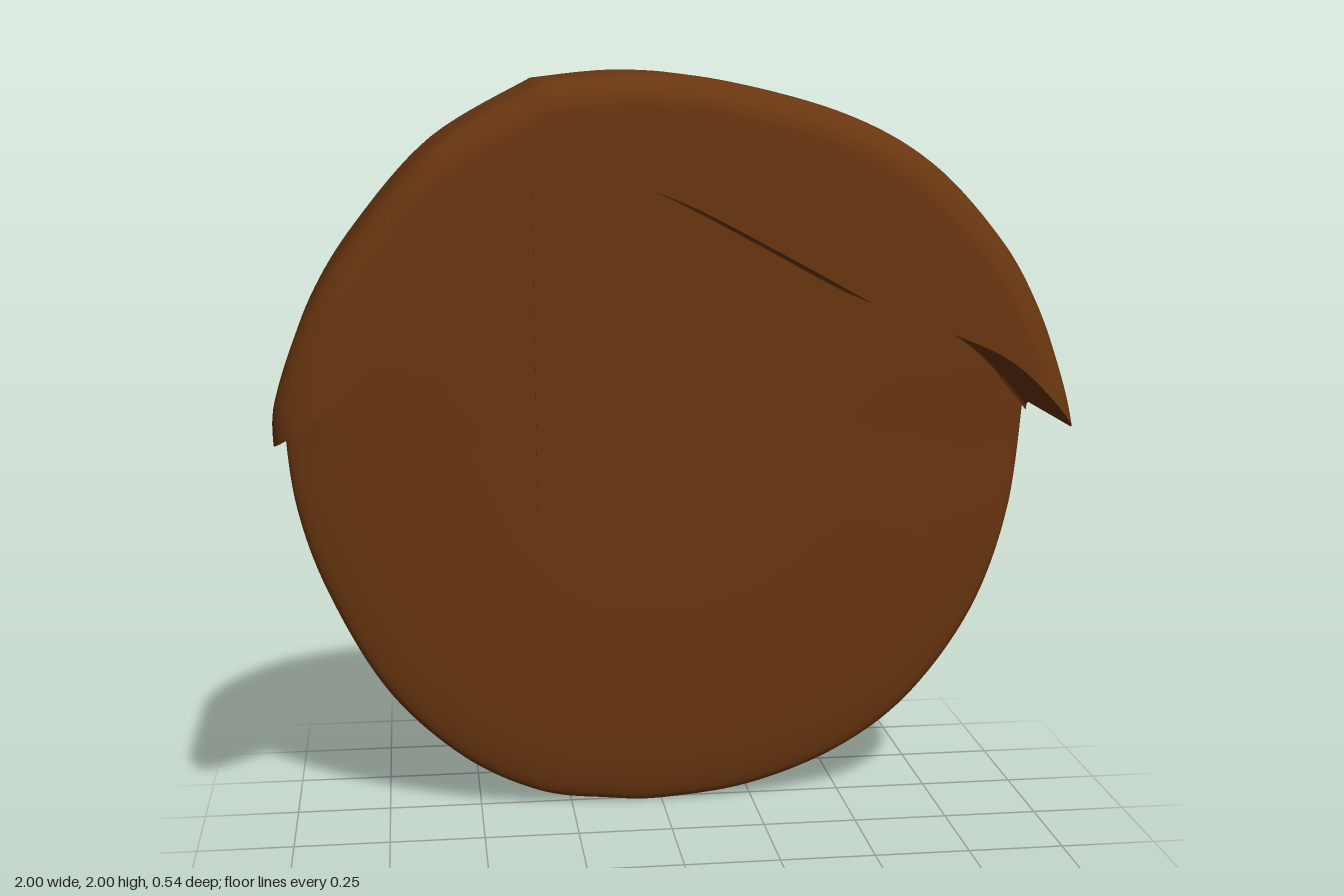
import * as THREE from 'three';
import { toCreasedNormals } from 'three/addons/utils/BufferGeometryUtils.js';

const material = new THREE.MeshStandardMaterial({ color: 0x693610, side: THREE.DoubleSide });
const CENTRE = new THREE.Vector2(0, 1.1);
const MID_Z = -0.235, HALF = 0.035, FRONT = 0.272, ROUND = 0.085;

// Smooth curve through a few x,y pairs
const sample = (pairs, n) =>
  new THREE.SplineCurve(pairs.map(([x, y]) => new THREE.Vector2(x, y))).getPoints(n);

// Surface through rows of equally many points
function loft(rows, crease) {
  const n = rows[0].length, index = [];
  for (let r = 0; r < rows.length - 1; r++) {
    for (let c = 0; c < n - 1; c++) {
      const a = r * n + c, b = a + n;
      index.push(a, b, a + 1, b, b + 1, a + 1);
    }
  }
  const g = new THREE.BufferGeometry();
  g.setAttribute('position', new THREE.Float32BufferAttribute(rows.flat(2), 3));
  g.setIndex(index);
  return toCreasedNormals(g, crease);
}

function named(name, geometry) {
  const mesh = new THREE.Mesh(geometry, material);
  mesh.name = name;
  return mesh;
}

// Upper outline and the lower edge of the hood, both split at the parting
const outerArc = [
  ...sample([[-1, 1.11], [-0.993, 1.22], [-0.92, 1.42], [-0.8, 1.61], [-0.6, 1.83], [-0.34, 1.98]], 40),
  ...sample([[-0.34, 1.98], [-0.12, 2], [0.1, 1.98], [0.4, 1.9], [0.62, 1.78], [0.8, 1.59], [0.9, 1.42], [0.97, 1.23], [1, 1.11]], 60).slice(1),
];
const innerArc = [
  ...sample([[-1, 1.11], [-0.95, 1.145], [-0.85, 1.22], [-0.7, 1.36], [-0.53, 1.55], [-0.335, 1.78]], 40),
  ...sample([[-0.335, 1.78], [-0.18, 1.75], [0, 1.69], [0.25, 1.56], [0.5, 1.425], [0.7, 1.35], [0.82, 1.29], [0.92, 1.2], [1, 1.11]], 60).slice(1),
];
const lowerArc = sample([[1, 1.11], [0.965, 0.8], [0.87, 0.52], [0.7, 0.28], [0.5, 0.13], [0.25, 0.035], [0, 0.003],
  [-0.15, 0.01], [-0.34, 0.04], [-0.55, 0.15], [-0.75, 0.35], [-0.9, 0.63], [-0.975, 0.87], [-1, 1.11]], 110);

// Round back plate: blunt rim above, long lens-shaped rim below
function plateGeometry() {
  const outline = [...outerArc, ...lowerArc.slice(1)];
  const ring = (a, shrink = 1) => outline.map((p) => {
    const blend = THREE.MathUtils.smoothstep(p.y, 0.95, 1.3);
    const inset = THREE.MathUtils.lerp(0.22, 0.04, blend) * (1 - Math.cos(a));
    const q = p.clone().sub(CENTRE);
    q.multiplyScalar((1 - inset / q.length()) * shrink).add(CENTRE);
    return [q.x, q.y, MID_Z + HALF * Math.sin(a)];
  });
  const rows = [ring(-Math.PI / 2, 0), ring(-Math.PI / 2, 0.6)];
  for (let k = -8; k <= 8; k++) rows.push(ring(k * Math.PI / 16));
  rows.push(ring(Math.PI / 2, 0.6), ring(Math.PI / 2, 0));
  return loft(rows, 1);
}

// Front face depth, rounded off close to the outer outline
function frontZ(p) {
  let d = Infinity;
  for (let i = 0; i < outerArc.length - 1; i++) {
    const a = outerArc[i], ab = outerArc[i + 1].clone().sub(a), ap = p.clone().sub(a);
    const t = THREE.MathUtils.clamp(ap.dot(ab) / ab.lengthSq(), 0, 1);
    d = Math.min(d, ap.sub(ab.multiplyScalar(t)).length());
  }
  const s = 1 - Math.min(d / ROUND, 1);
  return FRONT - ROUND + ROUND * Math.sqrt(1 - s * s);
}

// Hood: outer wall, rounded front face, underside and a small fillet to the plate
function hoodGeometry() {
  const rows = [outerArc.map((p) => [p.x, p.y, MID_Z])];
  const steps = 14;
  for (let k = 0; k <= steps; k++) {
    rows.push(outerArc.map((o, i) => {
      const p = o.clone().lerp(innerArc[i], (k / steps) ** 2);
      return [p.x, p.y, frontZ(p)];
    }));
  }
  for (let k = 0; k <= 4; k++) {
    const a = k * Math.PI / 8;
    rows.push(innerArc.map((p) => [p.x, p.y - 0.025 * (1 - Math.cos(a)), -0.178 - 0.025 * Math.sin(a)]));
  }
  return loft(rows, 0.9);
}

// Fine parting crease that narrows downward
function partingGeometry() {
  const g = new THREE.BoxGeometry(0.012, 1, 0.008);
  const pos = g.attributes.position;
  for (let i = 0; i < pos.count; i++) {
    if (pos.getY(i) < 0) pos.setX(i, pos.getX(i) * 0.3);
  }
  return g.translate(-0.335, 1.285, MID_Z + HALF);
}

export function createModel() {
  const group = new THREE.Group();
  group.name = 'hairPiece';
  group.add(
    named('backPlate', plateGeometry()),
    named('fringeHood', hoodGeometry()),
    named('partingCrease', partingGeometry()),
  );
  return group;
}
